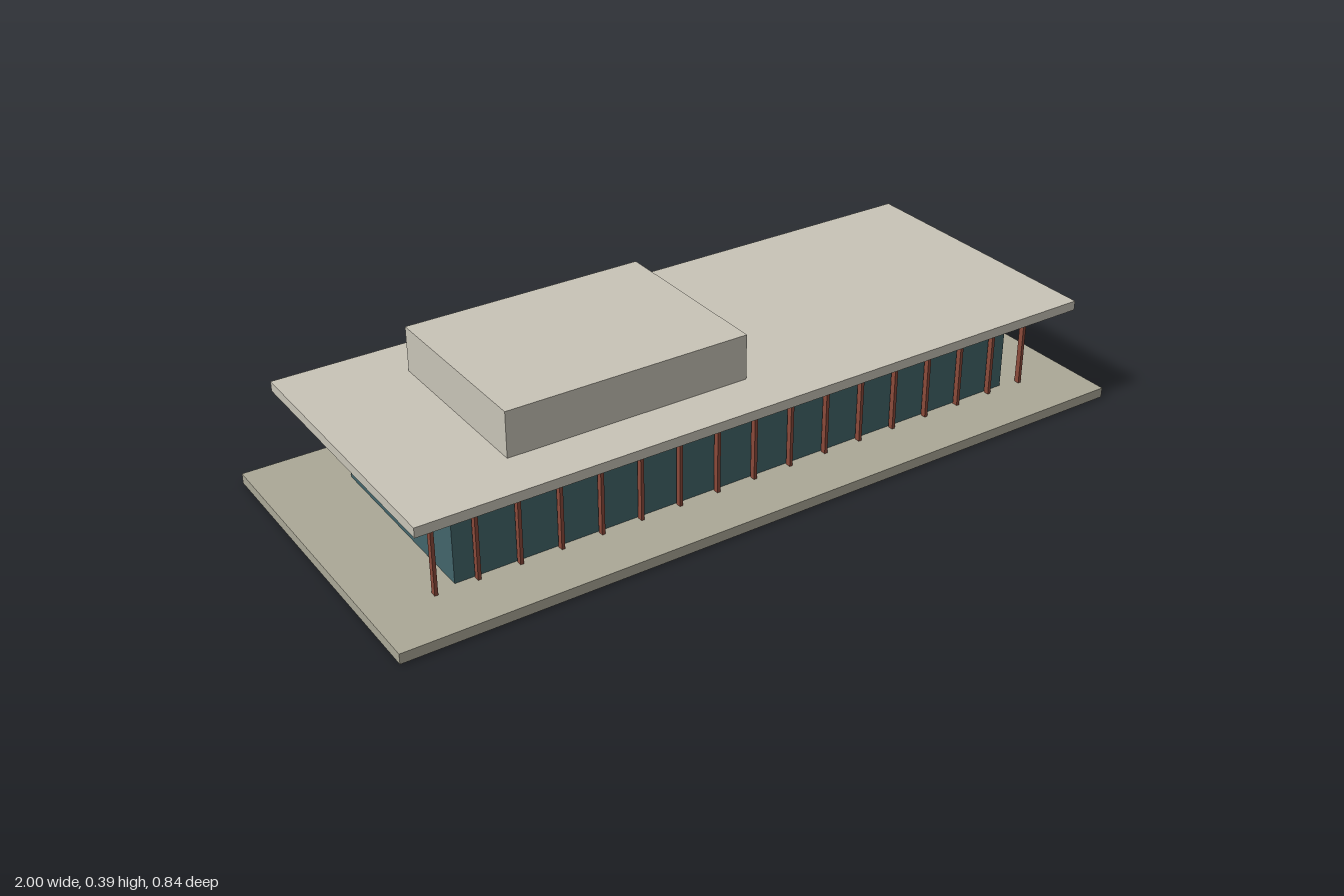
import * as THREE from 'three';

const paint = (color) => new THREE.MeshStandardMaterial({ color });

export function createModel() {
  const model = new THREE.Group();
  const concrete = paint(0xc8c4b7);
  const stone = paint(0xaba897);
  const glass = paint(0x42656a);
  const steel = paint(0x8b4a3a);

  // Box spanning bottom..top in height, centred on (x, z)
  function addBox(name, material, width, depth, bottom, top, x = 0, z = 0, parent = model) {
    const mesh = new THREE.Mesh(new THREE.BoxGeometry(width, top - bottom, depth), material);
    mesh.position.set(x, (bottom + top) / 2, z);
    mesh.name = name;
    parent.add(mesh);
  }

  // Storey levels
  const floor = 0.0263, ceiling = 0.252, roofTop = 0.277, upperTop = 0.393;

  addBox('plinth', stone, 2, 0.842, 0, floor);
  addBox('glassHall', glass, 1.579, 0.526, floor, ceiling);
  addBox('roofSlab', concrete, 1.842, 0.737, ceiling, roofTop);
  addBox('rooftopVolume', concrete, 0.632, 0.474, roofTop, upperTop, -0.316);

  // Row of slim fins in front of the glass, one bay past each end
  const fins = new THREE.Group();
  fins.name = 'frontFins';
  for (let i = -8; i <= 8; i++) {
    addBox('fin', steel, 0.0085, 0.0145, floor, ceiling, i * 0.1053, 0.2737, fins);
  }
  model.add(fins);

  return model;
}
